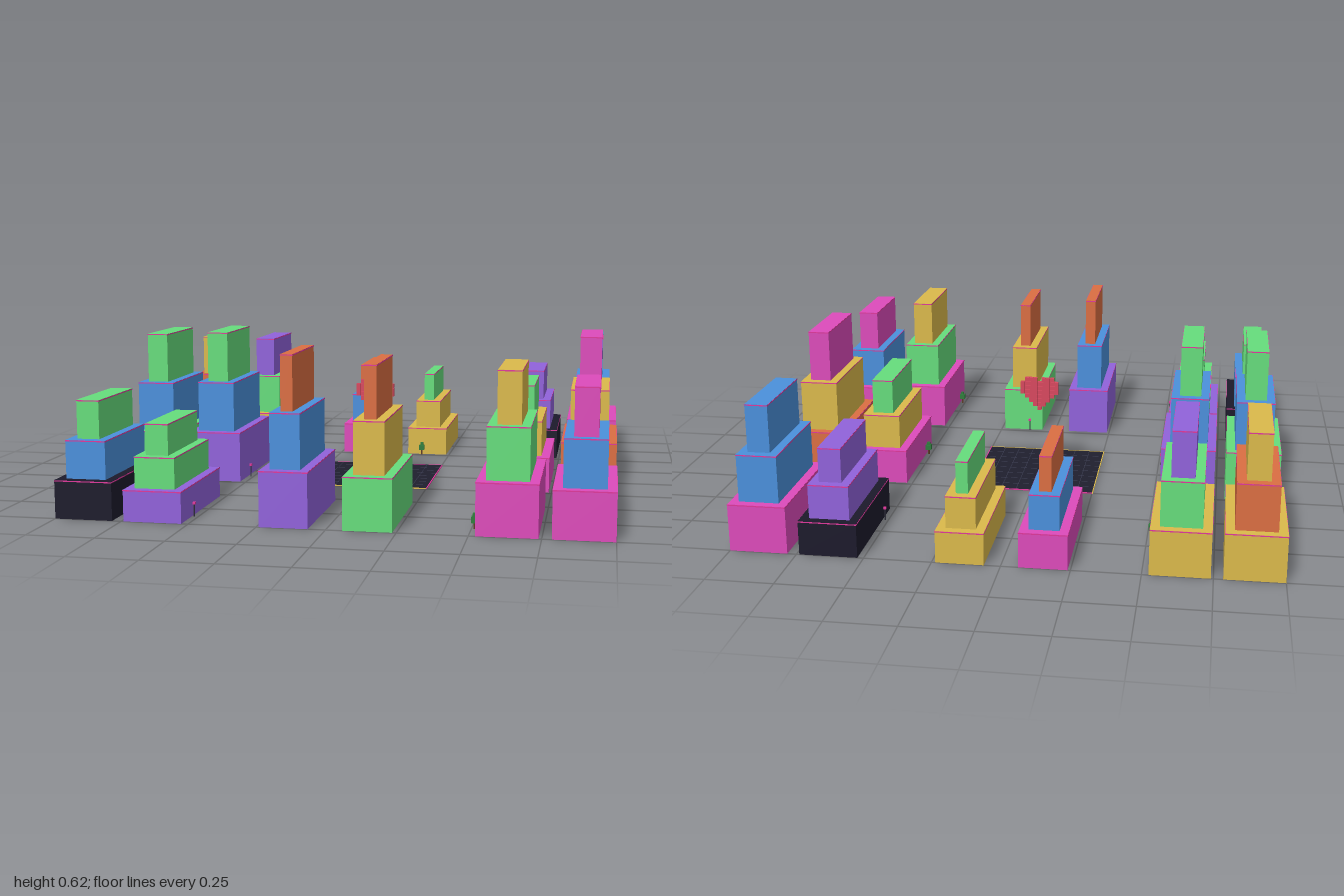
import * as THREE from 'three';

const mats = {};
const mat = (color) => (mats[color] ??= new THREE.MeshStandardMaterial({ color, flatShading: true }));

// Box standing on y, centred on x and z
function box(parent, name, color, w, h, d, x, y, z) {
  const m = new THREE.Mesh(new THREE.BoxGeometry(w, h, d), mat(color));
  m.position.set(x, y + h / 2, z);
  m.name = name;
  parent.add(m);
  return m;
}

const COLORS = {
  pink: 0xdd4bbb, blue: 0x4b90dc, green: 0x66dd7c, yellow: 0xdbb94b,
  orange: 0xdb6e42, purple: 0x9162db, dark: 0x1c1a2b,
};
const TRIM = 0xe0389c;

// Stepped tower of three equal tiers, each with a thin bright trim under its roof
function tower(x, z, width, total, colors) {
  const g = new THREE.Group();
  g.name = 'tower';
  const h = total / 3;
  colors.split(' ').forEach((c, i) => {
    const w = width - i * 0.066, d = 0.474 - i * 0.066;
    box(g, 'tier' + (i + 1), COLORS[c], w, h, d, 0, i * h, 0);
    box(g, 'roofTrim', TRIM, w + 0.002, 0.004, d + 0.002, 0, (i + 1) * h - 0.005, 0);
  });
  g.position.set(x, 0, z);
  return g;
}

// Small square-cut street tree
function tree(x, z) {
  const g = new THREE.Group();
  g.name = 'tree';
  box(g, 'trunk', 0x5b3a24, 0.007, 0.026, 0.007, 0, 0, 0);
  box(g, 'foliage', 0x2f7d3d, 0.023, 0.022, 0.023, 0, 0.022, 0);
  box(g, 'treeTop', 0x2f7d3d, 0.013, 0.012, 0.013, 0, 0.044, 0);
  g.position.set(x, 0, z);
  return g;
}

// Slim street lamp
function lamp(x, z) {
  const g = new THREE.Group();
  g.name = 'streetLamp';
  box(g, 'post', 0x333340, 0.004, 0.045, 0.004, 0, 0, 0);
  box(g, 'lampHead', TRIM, 0.01, 0.009, 0.01, 0, 0.045, 0);
  g.position.set(x, 0, z);
  return g;
}

// Floating heart of small cubes
function heart() {
  const g = new THREE.Group();
  g.name = 'heart';
  const rows = [
    '.XXX.XXX.', 'XXXXXXXXX', 'XXXXXXXXX', 'XXXXXXXXX',
    '.XXXXXXX.', '..XXXXX..', '...XXX...', '....X....',
  ];
  const s = 0.0176;
  rows.forEach((row, r) => [...row].forEach((c, i) => {
    if (c === 'X') box(g, 'heartCube', 0xd8485f, s * 0.95, s * 0.95, s, (i - 4) * s, (7 - r) * s, 0);
  }));
  g.position.y = 0.268;
  return g;
}

// Dark plaza slab with thin grid lines and a coloured border
function plaza() {
  const g = new THREE.Group();
  g.name = 'plaza';
  const size = 0.5;
  box(g, 'slab', 0x1f1f2e, size, 0.003, size, 0, 0, 0);
  for (let i = 1; i < 8; i++) {
    const p = (i / 8 - 0.5) * size;
    box(g, 'gridLine', 0x3a3c52, 0.002, 0.0006, size, p, 0.003, 0);
    box(g, 'gridLine', 0x3a3c52, size, 0.0006, 0.002, 0, 0.003, p);
  }
  for (const s of [-1, 1]) {
    box(g, 'sideBorder', s < 0 ? COLORS.yellow : TRIM, 0.004, 0.004, size + 0.008, s * (size / 2 + 0.002), 0, 0);
    box(g, 'endBorder', s < 0 ? TRIM : COLORS.yellow, size, 0.004, 0.004, 0, 0, s * (size / 2 + 0.002));
  }
  return g;
}

export function createModel() {
  const model = new THREE.Group();
  model.name = 'cityBlocks';

  // Columns: centre and base width
  const cols = {
    A: [-0.892, 0.216], B: [-0.633, 0.216], C: [-0.152, 0.176],
    D: [0.148, 0.176], E: [0.631, 0.216], F: [0.892, 0.216],
  };
  // Rows: z, then column, total height, tier colours from the ground up
  const rows = [
    [-0.763, [
      ['A', 0.52, 'yellow orange yellow'], ['B', 0.515, 'yellow green purple'],
      ['C', 0.4, 'pink blue orange'], ['D', 0.365, 'yellow yellow green'],
      ['E', 0.39, 'dark purple purple'], ['F', 0.542, 'pink blue blue']]],
    [0, [
      ['A', 0.6, 'green blue green'], ['B', 0.61, 'purple blue green'],
      ['E', 0.42, 'pink yellow green'], ['F', 0.616, 'orange yellow pink']]],
    [0.763, [
      ['A', 0.427, 'dark blue green'], ['B', 0.348, 'purple green green'],
      ['C', 0.607, 'purple blue orange'], ['D', 0.577, 'green yellow orange'],
      ['E', 0.568, 'pink green yellow'], ['F', 0.517, 'pink blue pink']]],
  ];
  for (const [z, list] of rows)
    for (const [col, height, colors] of list)
      model.add(tower(cols[col][0], z, cols[col][1], height, colors));

  // Street furniture beside the towers
  for (const [x, z] of [[-0.515, -0.645], [0.125, -0.515], [0.888, -0.515], [0.511, 0.125], [0.511, 0.89], [-0.645, 0.515]])
    model.add(tree(x, z));
  for (const [x, z] of [[-0.64, -0.515], [0.512, -0.64], [0.512 * -1, 0.12], [-0.515, 0.88], [0.118, 0.515], [0.882, 0.515]])
    model.add(lamp(x, z));

  // Centre
  model.add(plaza(), heart());
  return model;
}
